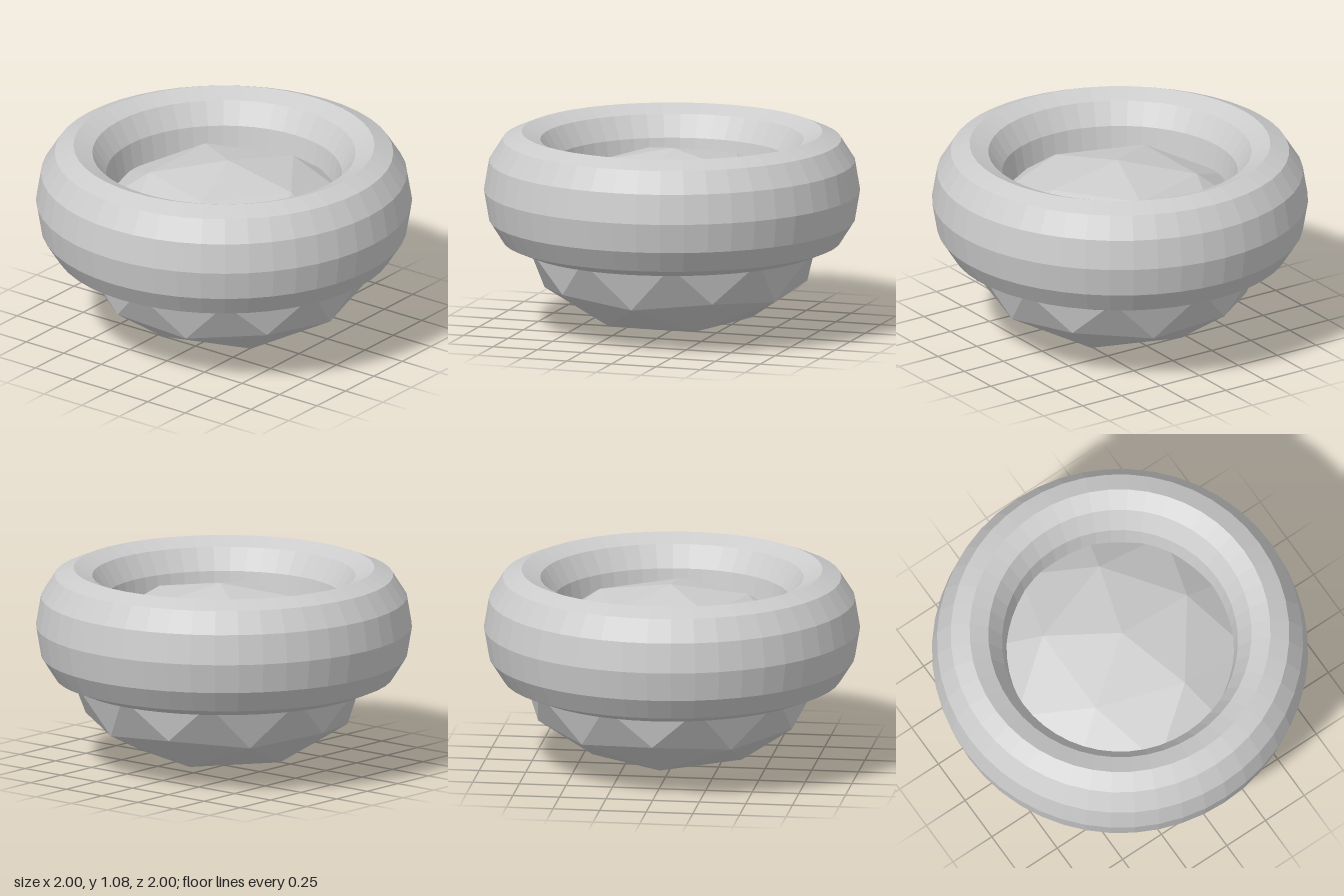
import * as THREE from 'three';

export function createModel() {
  const group = new THREE.Group();
  const material = new THREE.MeshStandardMaterial({ color: 0xcccccc, flatShading: true });

  const addPart = (name, geometry, x, y, z) => {
    const mesh = new THREE.Mesh(geometry, material);
    mesh.name = name;
    mesh.position.set(x, y, z);
    group.add(mesh);
  };

  // Faceted ring, taller than it is thick
  const ring = new THREE.TorusGeometry(0.8, 0.2, 12, 48);
  ring.rotateX(Math.PI / 2);
  ring.scale(1, 0.315 / 0.2, 1);
  addPart('ring', ring, 0, 0.762, 0);

  // Squashed faceted stone, turned so a corner points straight up and down
  const stone = new THREE.IcosahedronGeometry(1, 1);
  stone.rotateZ(-Math.atan(2 / (1 + Math.sqrt(5))));
  stone.scale(0.8, 0.495, 0.8);
  stone.computeVertexNormals();
  addPart('stone', stone, 0.02, 0.495, -0.01);

  return group;
}
